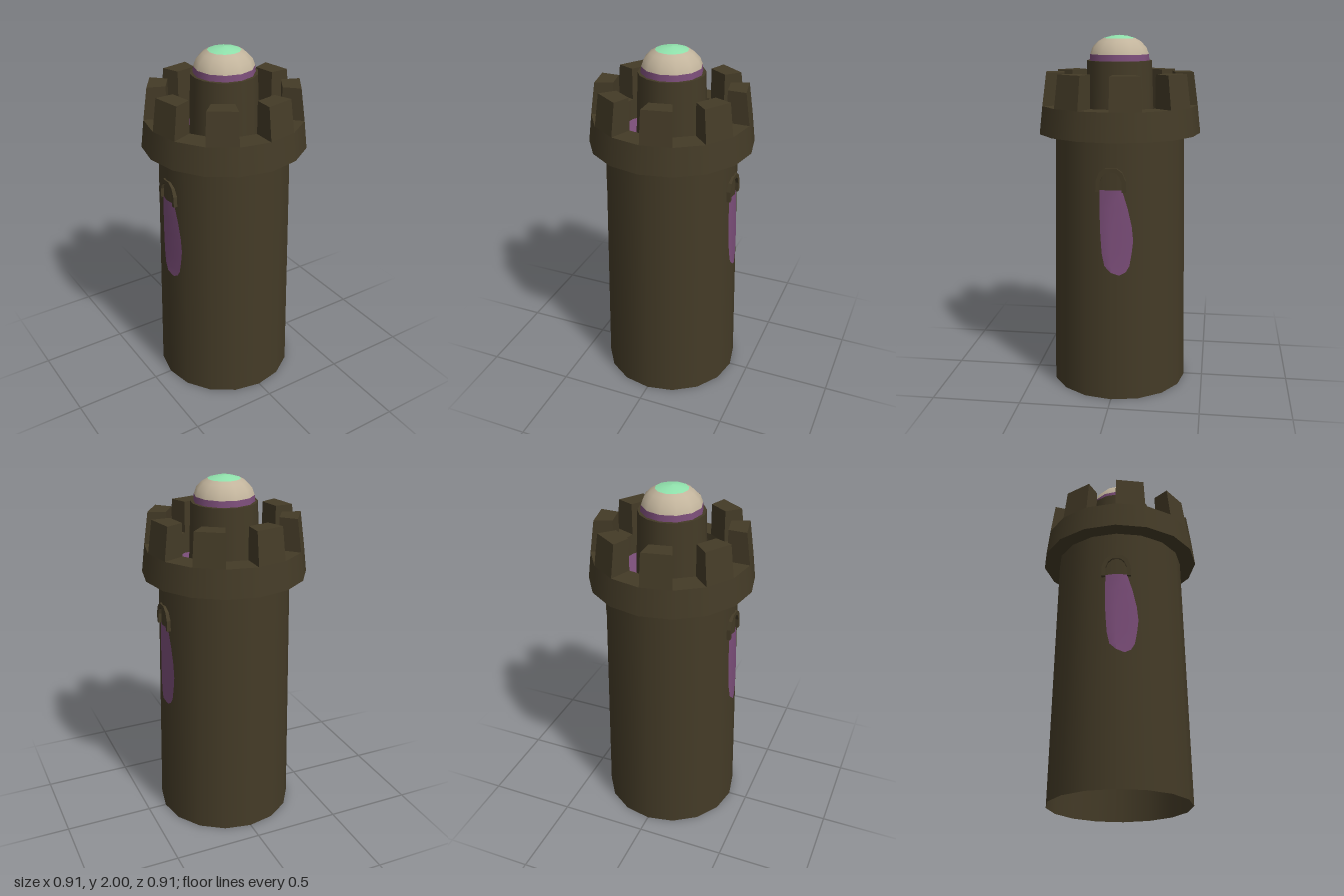
import * as THREE from 'three';

const SIDES = 16;
const STEP = (Math.PI * 2) / SIDES;

function material(name, color, side = THREE.FrontSide) {
  const m = new THREE.MeshStandardMaterial({ color, side });
  m.name = name;
  return m;
}

export function createModel() {
  const group = new THREE.Group();
  const stone = material('dark stone', 0x443b27, THREE.DoubleSide);
  const purple = material('purple', 0x7c4e7a, THREE.DoubleSide);
  const cream = material('cream', 0xc2b49c);
  const green = material('mint green', 0x90e2ac);

  function add(parent, name, geometry, mat, y = 0) {
    const mesh = new THREE.Mesh(geometry, mat);
    mesh.name = name;
    mesh.position.y = y;
    parent.add(mesh);
    return mesh;
  }
  // Tapered tube between two heights
  const tube = (r0, r1, y0, y1, open = true) =>
    new THREE.CylinderGeometry(r1, r0, y1 - y0, SIDES, 1, open).translate(0, (y0 + y1) / 2, 0);
  // Flat ring facing up or down
  const ring = (inner, outer, dir) =>
    new THREE.RingGeometry(inner, outer, SIDES).rotateX((-dir * Math.PI) / 2);

  // Tower shaft, open underneath
  const WALL0 = 0.393, WALL1 = 0.365, WALL_H = 1.465;
  add(group, 'towerWall', tube(WALL0, WALL1, 0, WALL_H), stone);

  // Crown with parapet walk
  const crown = new THREE.Group();
  crown.name = 'crown';
  group.add(crown);
  add(crown, 'crownOuterWall', tube(0.457, 0.439, 1.465, 1.62), stone);
  add(crown, 'crownUnderside', ring(0.36, 0.457, -1), stone, 1.465);
  add(crown, 'crownLedge', ring(0.313, 0.439, 1), stone, 1.62);
  add(crown, 'crownInnerWall', tube(0.313, 0.313, 1.5, 1.62), stone);
  add(crown, 'roofFloor', new THREE.CircleGeometry(0.313, SIDES).rotateX(-Math.PI / 2), purple, 1.5);

  // Merlons: boxes bent into every second wall segment
  for (let i = 0; i < SIDES; i += 2) {
    const g = new THREE.BoxGeometry(1, 1, 1);
    const p = g.attributes.position;
    for (let k = 0; k < p.count; k++) {
      const top = p.getY(k) > 0;
      const angle = (p.getX(k) > 0 ? i + 1 : i) * STEP;
      const r = p.getZ(k) < 0 ? 0.313 : top ? 0.414 : 0.439;
      p.setXYZ(k, Math.sin(angle) * r, top ? 1.8 : 1.62, Math.cos(angle) * r);
    }
    g.computeVertexNormals();
    add(crown, 'merlon', g, stone);
  }

  // Central turret and its dome
  add(group, 'turret', tube(0.195, 0.182, 1.5, 1.862, false), stone);
  const lathe = (points) =>
    new THREE.LatheGeometry(points.map(([r, y]) => new THREE.Vector2(r, y)), 12);
  add(group, 'domeBand', lathe([[0.168, 1.86], [0.164, 1.896]]), purple);
  add(group, 'dome', lathe([[0.164, 1.896], [0.15, 1.934], [0.118, 1.966], [0.09, 1.982]]), cream);
  add(group, 'domeCap', lathe([[0.09, 1.982], [0.045, 1.995], [0, 2]]), green);

  // Ragged window openings laid on the wall: height, front edge, back edge
  const rows = [
    [0.73, -0.04, -0.05], [0.745, 0, -0.08], [0.78, 0.035, -0.1], [0.85, 0.05, -0.112],
    [0.92, 0.055, -0.12], [1, 0.06, -0.112], [1.1, 0.06, -0.09], [1.2, 0.06, -0.06],
  ];
  const verts = [], index = [];
  rows.forEach(([y, z0, z1], j) => {
    for (const z of [z0, Math.min(0, z0), z1]) {
      const r = WALL0 + ((WALL1 - WALL0) * y) / WALL_H;
      verts.push(r - Math.abs(z) * Math.tan(STEP / 2) + 0.004, y, z);
    }
    if (j > 0) {
      for (let c = 0; c < 2; c++) {
        const a = (j - 1) * 3 + c, b = a + 3;
        index.push(a, a + 1, b + 1, a, b + 1, b);
      }
    }
  });
  const opening = new THREE.BufferGeometry();
  opening.setAttribute('position', new THREE.Float32BufferAttribute(verts, 3));
  opening.setIndex(index);
  opening.computeVertexNormals();

  // Arched hood above each opening
  const outer = [[0.082, 1.19], [0.08, 1.25], [0.062, 1.295], [0.03, 1.32]];
  const inner = [[0.06, 1.19], [0.058, 1.245], [0.045, 1.277], [0.022, 1.297]];
  const flip = (pts) => pts.map(([x, y]) => [-x, y]).reverse();
  const outline = [...outer, ...flip(outer), ...flip(inner).reverse(), ...inner.slice().reverse()];
  const hood = new THREE.ExtrudeGeometry(
    new THREE.Shape(outline.map(([x, y]) => new THREE.Vector2(x, y))),
    { depth: 0.035, bevelEnabled: false },
  ).rotateY(Math.PI / 2).translate(0.34, 0, 0);

  for (const [name, turn] of [['leftWindow', 0], ['rightWindow', Math.PI]]) {
    const win = new THREE.Group();
    win.name = name;
    win.rotation.y = turn;
    add(win, 'windowOpening', opening, purple);
    add(win, 'windowHood', hood, stone);
    group.add(win);
  }
  return group;
}
